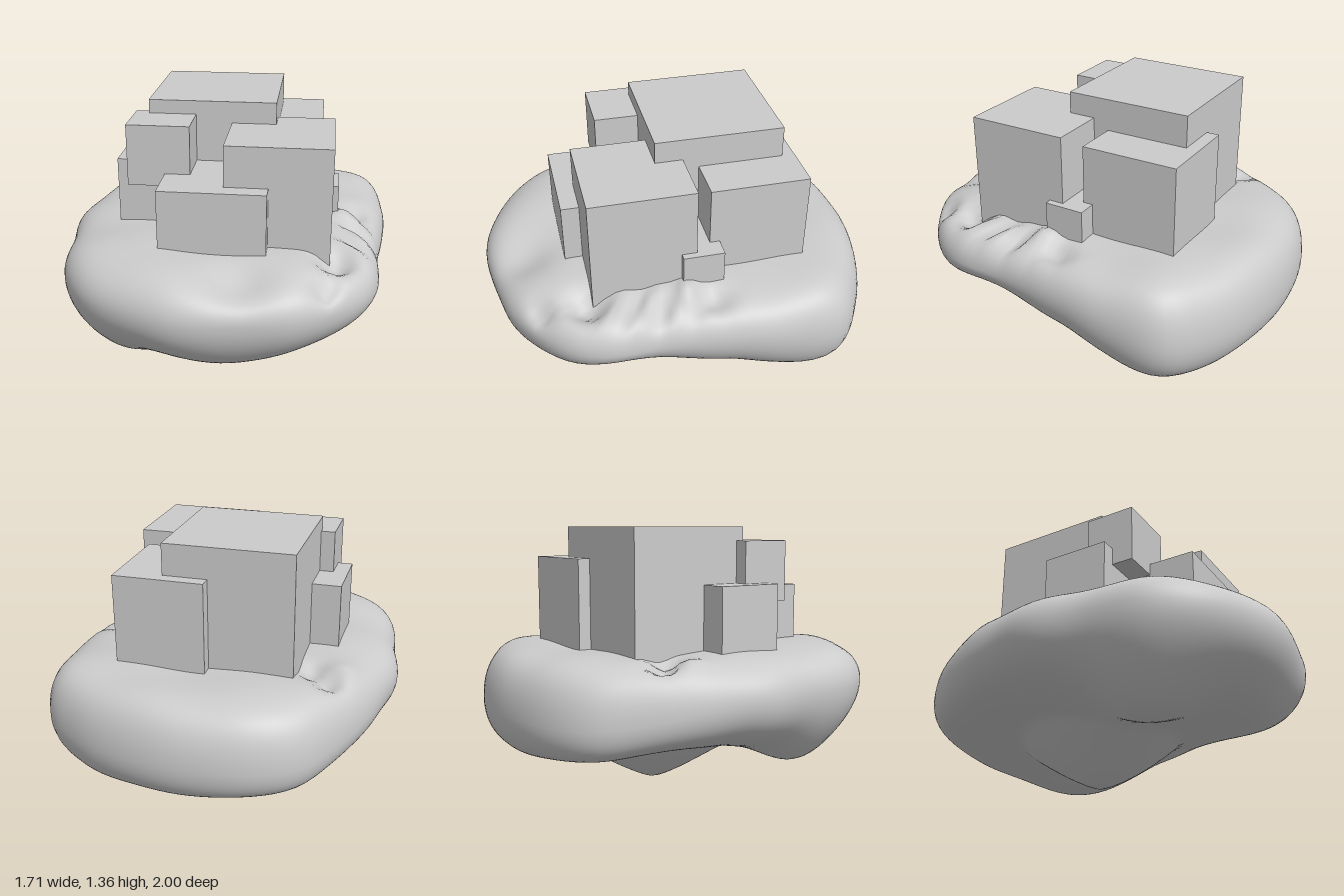
import * as THREE from 'three';

const material = new THREE.MeshStandardMaterial({ color: 0xcccccc });

// Plan outline of the rock, as x, z, running back -> left -> front -> right
const OUTLINE = [
  [0.05, -1], [0.38, -0.95], [0.62, -0.85], [0.81, -0.7], [0.85, -0.4], [0.83, -0.1],
  [0.79, 0.2], [0.78, 0.5], [0.72, 0.65], [0.6, 0.78], [0.4, 0.91], [0.2, 0.96],
  [-0.1, 1], [-0.28, 0.97], [-0.6, 0.81], [-0.77, 0.58], [-0.82, 0.25], [-0.86, 0],
  [-0.82, -0.22], [-0.77, -0.4], [-0.65, -0.65], [-0.51, -0.85], [-0.3, -0.96],
];

// Bumps and dents as x, z, radius, height
const TOP_BUMPS = [
  [0.57, 0.55, 0.09, -0.11], [0.53, 0.77, 0.06, -0.1], [0.13, 0.82, 0.16, -0.07],
  [-0.57, -0.46, 0.07, -0.07], [-0.47, -0.38, 0.07, -0.06], [-0.62, -0.36, 0.08, 0.02],
  [0.6, 0.07, 0.08, 0.035], [0.68, -0.06, 0.07, -0.06],
  [-0.62, 0.6, 0.2, 0.015], [0.6, -0.65, 0.2, 0.01], [-0.35, 0.72, 0.2, 0.015],
];
const BOTTOM_BUMPS = [
  [-0.5, 0.46, 0.29, -0.17], [0.47, -0.58, 0.3, -0.1], [0.8, 0.38, 0.3, 0.13],
  [0.05, -0.8, 0.25, -0.03], [0.08, 0.8, 0.3, -0.08], [-0.65, -0.45, 0.35, 0.06],
];

const bumps = (list, x, z) => list.reduce((sum, [bx, bz, r, h]) =>
  sum + h * Math.exp(-((x - bx) ** 2 + (z - bz) ** 2) / (r * r)), 0);

function topHeight(x, z) {
  const ripple = 0.008 * Math.sin(9 * x + 4 * z) * Math.sin(8 * z - 3 * x);
  // Diagonal creases across the left shoulder
  const shoulder = Math.exp(-(((x - 0.69) / 0.12) ** 2) - ((z - 0.25) / 0.24) ** 2);
  const creases = shoulder * (0.035 * Math.sin(36 * (z - 0.6 * x)) - 0.025);
  return 0.743 + ripple + creases + bumps(TOP_BUMPS, x, z);
}

// Underside with a blunt hanging tip that ends in a soft ledge
function bottomHeight(x, z) {
  const d = Math.hypot(x - 0.03, z + 0.13);
  const tip = 0.255 * Math.max(0, 1 - (d / 0.43) ** 1.3);
  return 0.25 + bumps(BOTTOM_BUMPS, x, z) - tip;
}

// Closed lumpy rock: rings run from the top centre, over the rim, to the underside
function rockGeometry() {
  const around = 112, rows = 80;
  const curve = new THREE.CatmullRomCurve3(
    OUTLINE.map(([x, z]) => new THREE.Vector3(x, 0, z)), true);
  const rim = curve.getSpacedPoints(around);
  const positions = [], index = [];
  for (let i = 0; i <= rows; i++) {
    const t = i / rows;
    const s = Math.sin(Math.PI * t);
    for (let j = 0; j < around; j++) {
      const x = rim[j].x * s, z = rim[j].z * s;
      // The rim is blockier and hangs lower towards the back
      const back = THREE.MathUtils.smoothstep(-rim[j].z, 0.1, 0.9);
      const middle = 0.55 - 0.1 * back;
      const power = t < 0.5 ? 9 + 4 * back : 4.5 + 10 * back;
      const target = t < 0.5 ? topHeight(x, z) : bottomHeight(x, z);
      const blend = Math.sqrt(Math.max(0, 1 - s ** power));
      positions.push(x, middle + (target - middle) * blend, z);
      if (i < rows) {
        const a = i * around + j, b = i * around + (j + 1) % around;
        index.push(a, b + around, a + around, a, b, b + around);
      }
    }
  }
  const geometry = new THREE.BufferGeometry();
  geometry.setAttribute('position', new THREE.Float32BufferAttribute(positions, 3));
  geometry.setIndex(index);
  geometry.computeVertexNormals();
  return geometry;
}

// Blocks as name, x range, z range, y range
const BLOCKS = [
  ['mainBlock', -0.405, 0.245, -0.515, 0.135, 0.7, 1.36],
  ['frontLeftBlock', 0.02, 0.54, -0.005, 0.515, 0.6, 1.25],
  ['frontBlock', -0.29, 0.235, 0.08, 0.605, 0.6, 1.045],
  ['raisedBlock', -0.478, -0.163, 0.095, 0.36, 0.98, 1.29],
  ['rightBlock', -0.555, -0.2, -0.11, 0.245, 0.7, 1.075],
  ['backLeftBlock', 0.02, 0.477, -0.58, -0.085, 0.7, 1.2],
  ['smallBlock', 0.2, 0.575, -0.135, 0.07, 0.68, 0.905],
];

export function createModel() {
  const model = new THREE.Group();
  model.name = 'blocksOnFloatingRock';

  const rock = new THREE.Mesh(rockGeometry(), material);
  rock.name = 'rock';
  model.add(rock);

  // Cluster of plain blocks sunk into the rock
  const cluster = new THREE.Group();
  cluster.name = 'blockCluster';
  for (const [name, x0, x1, z0, z1, y0, y1] of BLOCKS) {
    const block = new THREE.Mesh(new THREE.BoxGeometry(x1 - x0, y1 - y0, z1 - z0), material);
    block.name = name;
    block.position.set((x0 + x1) / 2, (y0 + y1) / 2, (z0 + z1) / 2);
    cluster.add(block);
  }
  model.add(cluster);
  return model;
}
